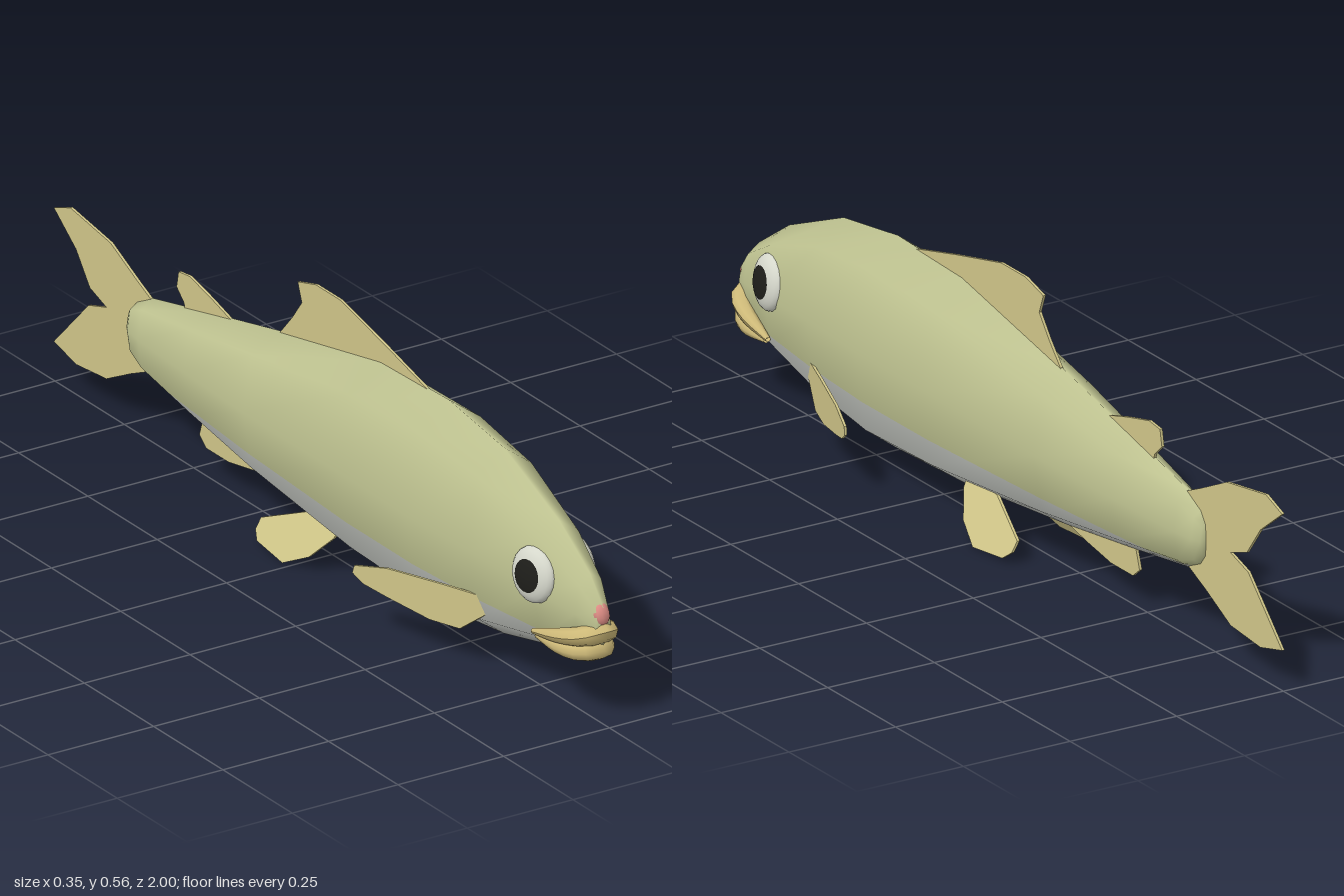
import * as THREE from 'three';

const mat = (name, color, side = THREE.FrontSide) => {
  const m = new THREE.MeshStandardMaterial({ color, side });
  m.name = name;
  return m;
};

// Smooth loft through octagonal sections: [z, top, bottom, halfWidth]
function loft(sections, sides = 8) {
  const pos = [], idx = [];
  sections.forEach(([z, top, bottom, w], i) => {
    for (let j = 0; j < sides; j++) {
      const a = (j / sides) * Math.PI * 2;
      const c = Math.cos(a), s = Math.sin(a);
      const k = j % 2 ? 1.07 : 1;
      pos.push(s * w * k, (top + bottom) / 2 + (c * k * (top - bottom)) / 2, z);
      if (i === sections.length - 1) continue;
      const A = i * sides + j, C = i * sides + ((j + 1) % sides);
      idx.push(A, C, A + sides, C, C + sides, A + sides);
    }
  });
  const g = new THREE.BufferGeometry();
  g.setAttribute('position', new THREE.Float32BufferAttribute(pos, 3));
  g.setIndex(idx);
  g.computeVertexNormals();
  return g;
}

// Keep the part of a geometry above (sign 1) or below (sign -1) a height
function clipY(source, height, sign) {
  const g = source.toNonIndexed(), p = g.attributes.position, n = g.attributes.normal;
  const pos = [], nor = [];
  for (let t = 0; t < p.count; t += 3) {
    const tri = [0, 1, 2].map(k => ({
      p: new THREE.Vector3().fromBufferAttribute(p, t + k),
      n: new THREE.Vector3().fromBufferAttribute(n, t + k),
    }));
    const poly = [];
    tri.forEach((a, k) => {
      const b = tri[(k + 1) % 3];
      const da = sign * (a.p.y - height), db = sign * (b.p.y - height);
      if (da >= 0) poly.push(a);
      if (da * db < 0) {
        const f = da / (da - db);
        poly.push({ p: a.p.clone().lerp(b.p, f), n: a.n.clone().lerp(b.n, f).normalize() });
      }
    });
    for (let k = 1; k + 1 < poly.length; k++) {
      for (const v of [poly[0], poly[k], poly[k + 1]]) {
        pos.push(...v.p.toArray());
        nor.push(...v.n.toArray());
      }
    }
  }
  const out = new THREE.BufferGeometry();
  out.setAttribute('position', new THREE.Float32BufferAttribute(pos, 3));
  out.setAttribute('normal', new THREE.Float32BufferAttribute(nor, 3));
  return out;
}

// Thin plate from a (z, y) outline; offset(z, y) leans it sideways
function finGeometry(outline, offset = () => 0) {
  const shape = new THREE.Shape(outline.map(([z, y]) => new THREE.Vector2(-z, y)));
  const g = new THREE.ExtrudeGeometry(shape, { depth: 0.006, bevelEnabled: false });
  g.translate(0, 0, -0.003).rotateY(Math.PI / 2);
  const p = g.attributes.position;
  for (let i = 0; i < p.count; i++) p.setX(i, p.getX(i) + offset(p.getZ(i), p.getY(i)));
  g.computeVertexNormals();
  return g;
}

// Curved lip, thick in the middle and thin at the mouth corners
function lipGeometry(points, radius) {
  const half = points.map(p => new THREE.Vector3(...p));
  const mirrored = half.slice(0, -1).reverse().map(v => new THREE.Vector3(-v.x, v.y, v.z));
  const curve = new THREE.CatmullRomCurve3([...half, ...mirrored]);
  const n = 14, r = 8;
  const g = new THREE.TubeGeometry(curve, n, radius, r);
  const p = g.attributes.position, v = new THREE.Vector3();
  for (let i = 0; i <= n; i++) {
    const c = curve.getPointAt(i / n);
    const k = 0.25 + 0.75 * Math.sin((Math.PI * i) / n);
    for (let j = 0; j <= r; j++) {
      const q = i * (r + 1) + j;
      v.fromBufferAttribute(p, q).sub(c).multiplyScalar(k).add(c);
      p.setXYZ(q, v.x, v.y, v.z);
    }
  }
  g.computeVertexNormals();
  return g;
}

export function createModel() {
  const fish = new THREE.Group();
  fish.name = 'fish';
  const olive = mat('olive skin', 0xc2c693);
  const grey = mat('grey belly', 0xbfc2bc);
  const gold = mat('golden fins', 0xcfc588);
  const lipGold = mat('golden lips', 0xcdb978, THREE.DoubleSide);
  const pink = mat('pink nose', 0xdc8c84);
  const white = mat('eye white', 0xd6d8cc);
  const black = mat('pupil black', 0x1e1e1a);
  const add = (name, geometry, material, parent = fish) => {
    const m = new THREE.Mesh(geometry, material);
    m.name = name;
    parent.add(m);
    return m;
  };

  // Body with a pale belly below a level line
  const body = loft([
    [0.982, 0.23, 0.2, 0.002],
    [0.978, 0.255, 0.175, 0.018],
    [0.93, 0.312, 0.152, 0.036],
    [0.82, 0.385, 0.11, 0.06],
    [0.62, 0.468, 0.065, 0.086],
    [0.42, 0.497, 0.043, 0.1],
    [0.18, 0.49, 0.052, 0.1],
    [-0.2, 0.415, 0.09, 0.078],
    [-0.45, 0.36, 0.122, 0.055],
    [-0.65, 0.315, 0.15, 0.034],
    [-0.7, 0.29, 0.172, 0.026],
    [-0.718, 0.265, 0.195, 0.016],
    [-0.72, 0.235, 0.225, 0.001],
  ]);
  add('body', clipY(body, 0.16, 1), olive);
  add('belly', clipY(body, 0.16, -1), grey);

  // Nose and lips
  const nose = add('nose', new THREE.SphereGeometry(1, 10, 8), pink);
  nose.scale.set(0.018, 0.024, 0.014);
  nose.position.set(0, 0.24, 0.971);
  nose.rotation.x = -0.35;
  add('upperLip', lipGeometry([[0.056, 0.156, 0.81], [0.046, 0.176, 0.9], [0.028, 0.19, 0.952], [0, 0.202, 0.976]], 0.022), lipGold);
  add('lowerLip', lipGeometry([[0.054, 0.15, 0.82], [0.044, 0.15, 0.9], [0.026, 0.154, 0.945], [0, 0.16, 0.964]], 0.021), lipGold);

  // Fins along the middle
  add('dorsalFin', finGeometry([[0.36, 0.49], [0.2, 0.53], [0.035, 0.568], [-0.055, 0.568], [-0.12, 0.55],
    [-0.105, 0.51], [-0.14, 0.465], [-0.19, 0.41], [-0.19, 0.37], [0.33, 0.45]]), gold);
  add('rearDorsalFin', finGeometry([[-0.355, 0.375], [-0.43, 0.396], [-0.51, 0.415], [-0.55, 0.41],
    [-0.557, 0.375], [-0.53, 0.35], [-0.52, 0.31], [-0.36, 0.34]]), gold);
  add('analFin', finGeometry([[-0.19, 0.1], [-0.285, 0.08], [-0.37, 0.065], [-0.45, 0.065],
    [-0.475, 0.085], [-0.46, 0.13], [-0.46, 0.17], [-0.2, 0.14]]), gold);
  add('tailFin', finGeometry([[-0.62, 0.3], [-0.7, 0.335], [-0.795, 0.38], [-0.94, 0.402], [-1, 0.38],
    [-0.92, 0.32], [-0.87, 0.255], [-0.81, 0.235], [-0.875, 0.215], [-0.94, 0.15], [-1, 0.09],
    [-0.92, 0.07], [-0.81, 0.08], [-0.72, 0.125], [-0.63, 0.165]]), gold);

  // Paired fins and eyes
  for (const side of [1, -1]) {
    const label = side > 0 ? 'left' : 'right';
    add(label + 'PectoralFin', finGeometry([[0.66, 0.14], [0.645, 0.17], [0.55, 0.17], [0.42, 0.167], [0.345, 0.152],
      [0.34, 0.135], [0.365, 0.118], [0.42, 0.105], [0.52, 0.085], [0.59, 0.085]],
    z => side * (0.09 + (0.57 - z) * 0.36)), gold);
    add(label + 'PelvicFin', finGeometry([[0.095, 0.107], [0.03, 0.11], [-0.02, 0.1], [-0.14, 0.05], [-0.14, 0.028],
      [-0.12, 0.012], [-0.02, 0.003], [0.045, 0.035], [0.09, 0.085]],
    (z, y) => side * (0.102 - (y - 0.003) * 0.6)), gold);

    // Flattened eye with its pole facing outward
    const eye = new THREE.Group();
    eye.name = label + 'Eye';
    const tilt = new THREE.Vector3(side, 0.12, 0.16).normalize();
    eye.quaternion.setFromUnitVectors(new THREE.Vector3(0, 1, 0), tilt);
    eye.position.set(side * 0.053, 0.278, 0.81);
    eye.scale.set(0.059, 0.025, 0.059);
    add(label + 'EyeWhite', new THREE.SphereGeometry(1, 20, 12), white, eye);
    add(label + 'Pupil', new THREE.SphereGeometry(1.03, 20, 6, 0, Math.PI * 2, 0, 0.6), black, eye);
    fish.add(eye);
  }
  return fish;
}
